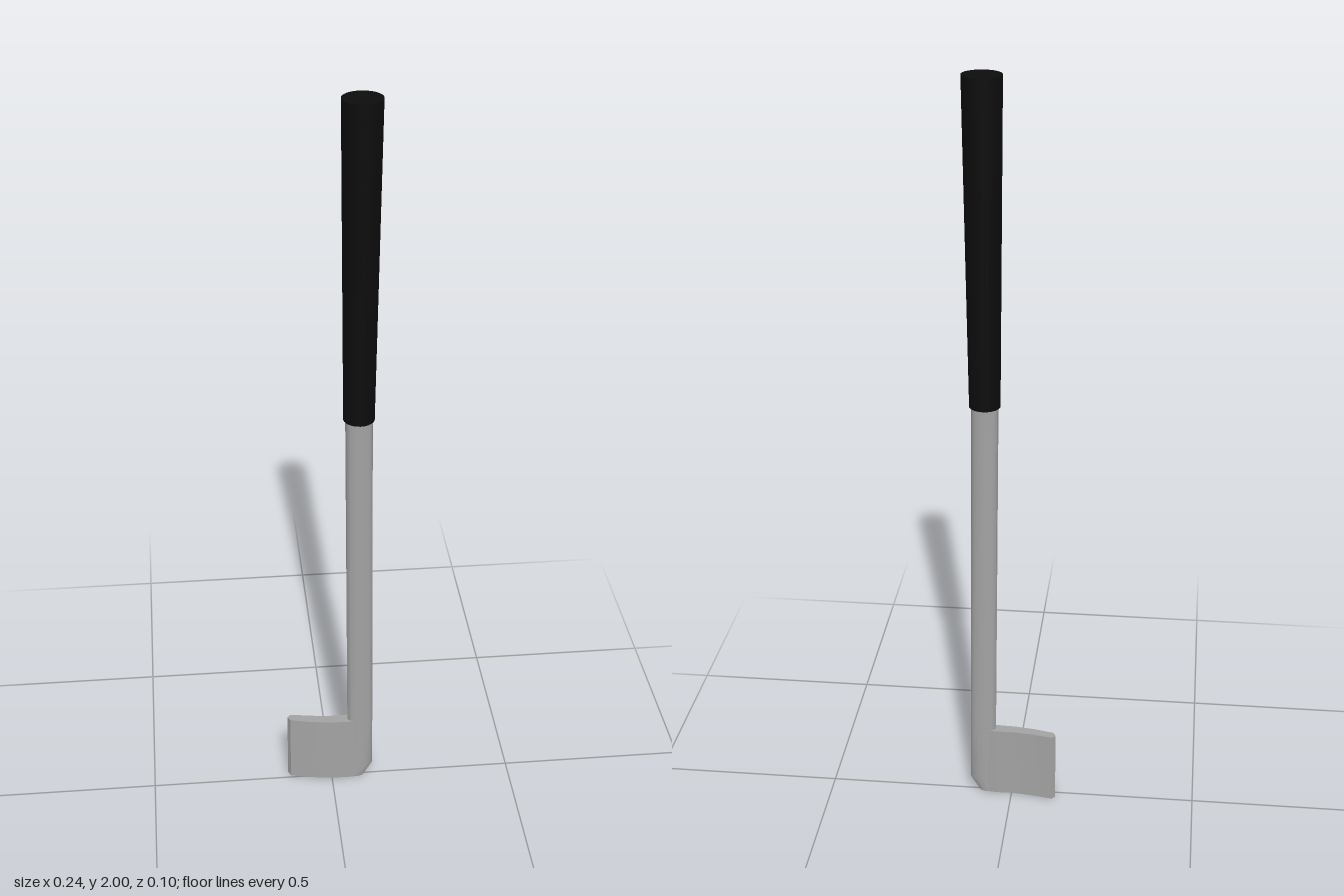
import * as THREE from 'three';
import { toCreasedNormals } from 'three/addons/utils/BufferGeometryUtils.js';

export function createModel() {
  const group = new THREE.Group();
  const steel = new THREE.MeshStandardMaterial({ color: 0xa3a3a3 });
  steel.name = 'steel grey';
  const rubber = new THREE.MeshStandardMaterial({ color: 0x0c0c0c });
  rubber.name = 'rubber black';

  const add = (name, geometry, material) => {
    const mesh = new THREE.Mesh(toCreasedNormals(geometry, 0.6), material);
    mesh.name = name;
    group.add(mesh);
  };

  // Closed loft through elliptical rings: [y, centre x, half width x, half depth z]
  const loft = (rings, sides) => {
    const geometry = new THREE.CylinderGeometry(1, 1, 1, sides, rings.length - 1);
    const p = geometry.attributes.position;
    for (let i = 0; i < p.count; i++) {
      const [y, cx, rx, rz] = rings[Math.round((p.getY(i) + 0.5) * (rings.length - 1))];
      p.setXYZ(i, cx + p.getX(i) * rx, y, p.getZ(i) * rz);
    }
    geometry.computeVertexNormals();
    return geometry;
  };

  // Tapered round grip
  add('grip', loft([[1.16, 0.069, 0.04, 0.04], [2, 0.071, 0.05, 0.048]], 24), rubber);

  // Flattened shaft, narrowing to the cut-off heel
  add('shaft', loft([
    [0, 0.066, 0.024, 0.0145],
    [0.04, 0.08, 0.035, 0.0155],
    [0.2, 0.079, 0.035, 0.0165],
    [1.17, 0.069, 0.035, 0.026],
  ], 16), steel);

  // Curved blade: plan outline as [x, z], raised to its full height
  const plan = [
    [0.09, 0.007], [0.07, 0.0135], [0.04, 0.0155], [-0.01, 0.013], [-0.06, 0.006], [-0.115, -0.007],
    [-0.122, -0.022], [-0.112, -0.031],
    [-0.06, -0.022], [-0.01, -0.0155], [0.04, -0.0165], [0.07, -0.0135], [0.09, -0.007],
  ];
  const outline = new THREE.Shape(plan.map(([x, z]) => new THREE.Vector2(x, -z)));
  const blade = new THREE.ExtrudeGeometry(outline, { depth: 0.2, bevelEnabled: false });
  blade.rotateX(-Math.PI / 2);
  add('blade', blade, steel);

  return group;
}
